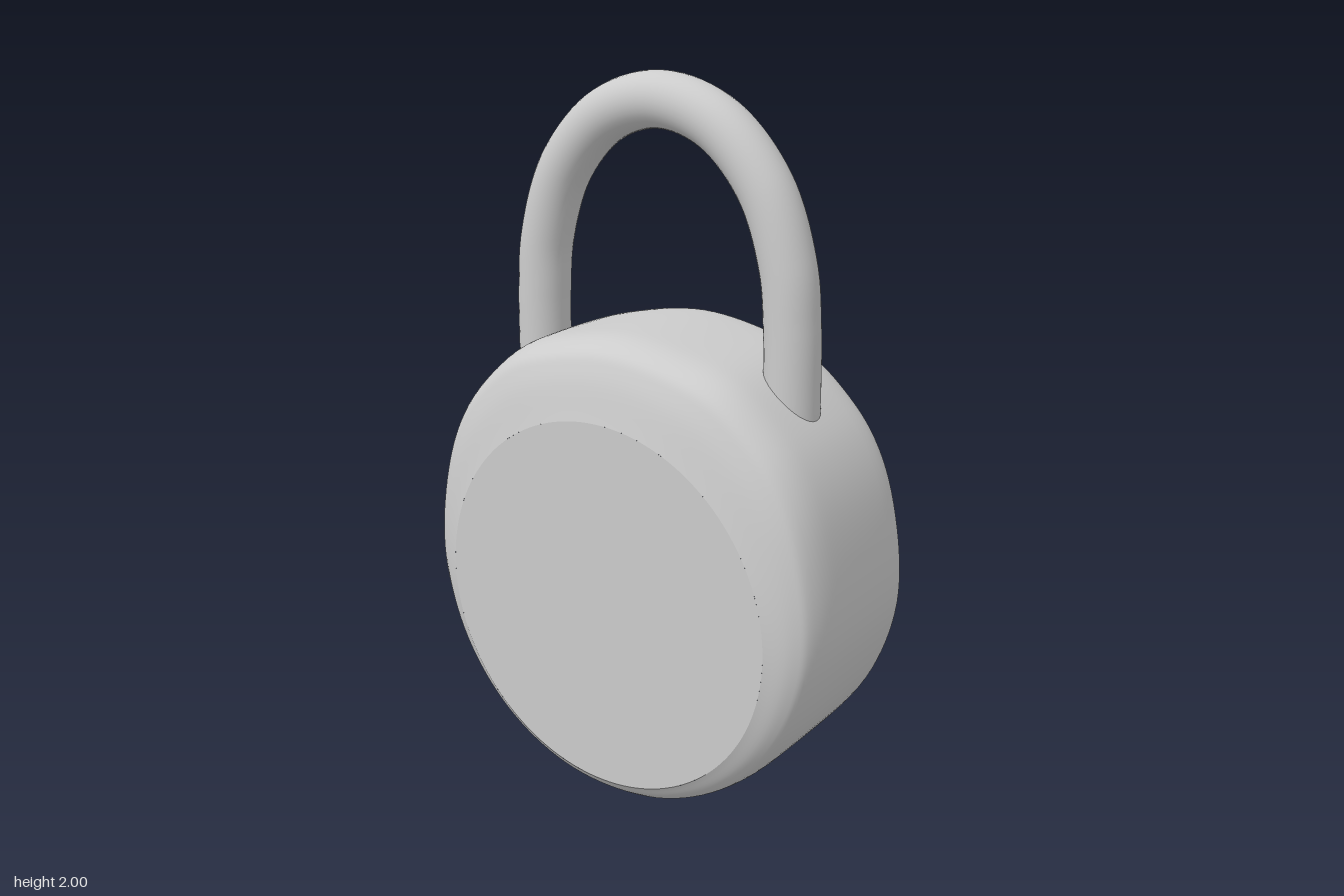
import * as THREE from 'three';

const CY = 0.595; // height of the dial axis
const FACE_R = 0.525; // radius of the flat back and of the dial plate

const material = new THREE.MeshStandardMaterial({ color: 0xcccccc });

function add(group, name, geometry) {
  const mesh = new THREE.Mesh(geometry, material);
  mesh.name = name;
  group.add(mesh);
  return mesh;
}

// Turned part on the dial axis; each run of [x, radius] points is smooth, joints between runs are sharp
function turned(group, name, runs) {
  const part = new THREE.Group();
  part.name = name;
  runs.forEach((run) => {
    const geo = new THREE.LatheGeometry(run.map(([x, r]) => new THREE.Vector2(r, x)), 96);
    geo.rotateZ(-Math.PI / 2);
    geo.translate(0, CY, 0);
    add(part, name + 'Surface', geo);
  });
  group.add(part);
}

// Case: round ends that swell into the shouldered outline
function caseGeometry() {
  const half = [[0, 0.005], [0.2, 0.035], [0.4, 0.145], [0.55, 0.32], [0.63, 0.52], [0.645, 0.68],
    [0.605, 0.93], [0.55, 1.06], [0.48, 1.15], [0.35, 1.257], [0.2, 1.307], [0, 1.335]];
  const mirrored = half.slice(1, -1).reverse().map(([z, y]) => [-z, y]);
  const outline = new THREE.CatmullRomCurve3(
    [...half, ...mirrored].map(([z, y]) => new THREE.Vector3(0, y, z)), true, 'centripetal');
  const N = 128;
  const rim = outline.getSpacedPoints(N).slice(0, N);

  // Along x: how far the section has grown from the round face to the full outline
  const growth = new THREE.CatmullRomCurve3(
    [[-0.405, 0], [-0.37, 0.6], [-0.335, 0.85], [-0.27, 0.97], [-0.18, 1], [0.04, 1],
      [0.1, 0.965], [0.14, 0.84], [0.17, 0.54], [0.19, 0]]
      .map(([x, t]) => new THREE.Vector3(x, t, 0)), false, 'centripetal');
  const sections = growth.getPoints(54);

  const pos = [], index = [];
  sections.forEach((s, i) => {
    rim.forEach((p, j) => {
      const dy = p.y - CY, d = Math.hypot(dy, p.z);
      const k = (FACE_R + (d - FACE_R) * s.y) / d;
      pos.push(s.x, CY + dy * k, p.z * k);
      if (i < sections.length - 1) {
        const a = i * N + j, b = i * N + (j + 1) % N;
        index.push(a, a + N, b, b, a + N, b + N);
      }
    });
  });
  const geo = new THREE.BufferGeometry();
  geo.setAttribute('position', new THREE.Float32BufferAttribute(pos, 3));
  geo.setIndex(index);
  geo.computeVertexNormals();
  return geo;
}

export function createModel() {
  const model = new THREE.Group();
  model.name = 'padlock';

  add(model, 'case', caseGeometry());

  // Flat back
  const back = new THREE.CircleGeometry(FACE_R, 128);
  back.rotateY(-Math.PI / 2);
  back.translate(-0.405, CY, 0);
  add(model, 'backPlate', back);

  // Conical dial plate with a thin collar
  turned(model, 'dialPlate', [
    [[0.19, FACE_R], [0.245, 0.282]],
    [[0.245, 0.282], [0.257, 0.28]],
    [[0.257, 0.28], [0.257, 0.2]],
  ]);

  // Tapered knob
  turned(model, 'knob', [
    [[0.25, 0.268], [0.376, 0.25]],
    [[0.376, 0.25], [0.376, 0.2]],
  ]);

  // Knob cap with a rounded edge
  turned(model, 'knobCap', [
    [[0.37, 0.237], [0.386, 0.237], [0.394, 0.234], [0.399, 0.228], [0.402, 0.218]],
    [[0.402, 0.218], [0.402, 0]],
  ]);

  // Shackle: bent rod with both legs sunk into the case
  const leg = [[0.415, 0.95], [0.415, 1.2], [0.411, 1.38], [0.395, 1.53], [0.323, 1.725], [0.18, 1.873]];
  const path = [...leg, [0, 1.925], ...leg.slice().reverse().map(([z, y]) => [-z, y])]
    .map(([z, y]) => new THREE.Vector3(-0.105, y, z));
  add(model, 'shackle', new THREE.TubeGeometry(
    new THREE.CatmullRomCurve3(path, false, 'centripetal'), 96, 0.075, 32));

  return model;
}
